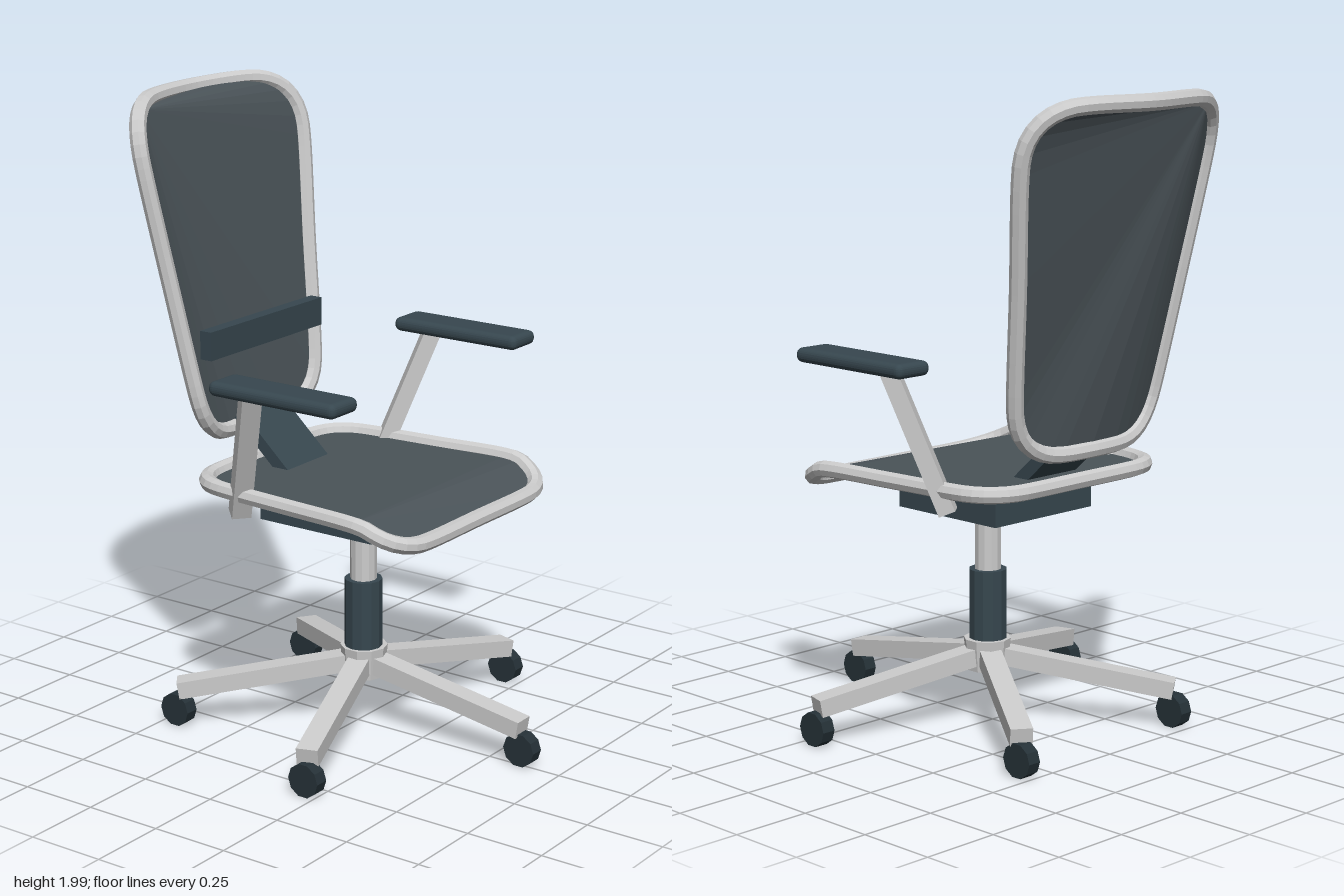
import * as THREE from 'three';
import { RoundedBoxGeometry } from 'three/addons/geometries/RoundedBoxGeometry.js';

const V = (x, y, z) => new THREE.Vector3(x, y, z);

export function createModel() {
  const chair = new THREE.Group();
  chair.name = 'officeChair';
  const mat = (color) => new THREE.MeshStandardMaterial({ color, flatShading: true });
  const metal = mat(0xcccccc);
  const dark = mat(0x37474f);
  const wheel = mat(0x263238);
  const mesh = mat(0x4a5358);
  mesh.side = THREE.DoubleSide;

  function add(name, geometry, material, x = 0, y = 0, z = 0) {
    const m = new THREE.Mesh(geometry, material);
    m.name = name;
    m.position.set(x, y, z);
    chair.add(m);
    return m;
  }

  // Square bar running from point a to point b
  function beam(name, a, b, w, h, material) {
    const c = a.clone().add(b).multiplyScalar(0.5);
    const m = add(name, new THREE.BoxGeometry(w, h, a.distanceTo(b)), material, c.x, c.y, c.z);
    m.lookAt(b);
    return m;
  }

  // Closed outline with rounded corners [x, y, radius] and a point in the middle of each edge
  function roundedLoop(corners) {
    const pts = [];
    corners.forEach(([x, y, r], i) => {
      const p = new THREE.Vector2(x, y);
      const toward = (j, d) => {
        const q = new THREE.Vector2(corners[j][0], corners[j][1]);
        return p.clone().add(q.sub(p).setLength(d));
      };
      const n = corners.length, next = (i + 1) % n;
      const curve = new THREE.QuadraticBezierCurve(toward((i + n - 1) % n, r), p, toward(next, r));
      pts.push(...curve.getPoints(6));
      pts.push(new THREE.Vector2((x + corners[next][0]) / 2, (y + corners[next][1]) / 2));
    });
    return pts;
  }

  // Tubular rim with a thin mesh panel stretched inside as a fan from one rim point;
  // place() bends the flat outline in space
  function framedPanel(name, corners, apex, place) {
    const pts = roundedLoop(corners).map(place);
    const path = new THREE.CatmullRomCurve3(pts, true);
    add(name + 'Frame', new THREE.TubeGeometry(path, 96, 0.026, 8, true), metal);
    const n = pts.length, index = [];
    for (let i = 1; i < n - 1; i++) index.push(apex, (apex + i) % n, (apex + i + 1) % n);
    const panel = new THREE.BufferGeometry().setFromPoints(pts);
    panel.setIndex(index);
    panel.computeVertexNormals();
    add(name + 'Mesh', panel, mesh);
  }

  // Star base: five sloping legs with casters, turned very slightly
  const baseZ = 0.024;
  for (let i = 0; i < 5; i++) {
    const a = (i * Math.PI * 2) / 5 + 0.016;
    const at = (r, y) => V(r * Math.sin(a), y, baseZ + r * Math.cos(a));
    beam('baseLeg', at(0.02, 0.217), at(0.587, 0.121), 0.068, 0.055, metal);
    const c = at(0.587, 0.053);
    const caster = add('caster', new THREE.CylinderGeometry(0.054, 0.054, 0.045, 10), wheel, c.x, c.y, c.z);
    caster.rotation.z = Math.PI / 2;
  }
  add('hub', new THREE.CylinderGeometry(0.075, 0.065, 0.1, 10), metal, 0, 0.215, baseZ);

  // Gas lift and tilt mechanism
  add('liftSleeve', new THREE.CylinderGeometry(0.06, 0.06, 0.23, 12), dark, -0.003, 0.372, baseZ);
  add('liftColumn', new THREE.CylinderGeometry(0.042, 0.042, 0.24, 12), metal, -0.003, 0.59, baseZ);
  add('tiltMechanism', new THREE.BoxGeometry(0.42, 0.085, 0.42), dark, -0.003, 0.732, -0.008);

  // Seat: flat, with the front edge dropping away
  framedPanel('seat', [
    [0.432, 0.445, 0.17], [-0.438, 0.445, 0.17], [-0.37, -0.365, 0.15], [0.365, -0.365, 0.15],
  ], 14, (p) => V(p.x, 0.826 - 0.48 * Math.max(0, p.y - 0.315), p.y));

  // Backrest: leaning back and hollowed towards the middle
  framedPanel('backrest', [
    [0.42, 1.97, 0.2], [-0.425, 1.97, 0.2], [-0.285, 0.928, 0.17], [0.28, 0.928, 0.17],
  ], 10, ({ x, y }) => V(x, y, -0.438 - 0.216 * (y - 1.05) + 0.6 * x * x));

  add('lumbarBar', new THREE.BoxGeometry(0.565, 0.09, 0.042), dark, -0.003, 1.235, -0.366);
  beam('backBracket', V(-0.003, 0.771, -0.16), V(-0.003, 0.975, -0.385), 0.21, 0.04, dark);

  // Armrests
  for (const [side, s] of [['left', 1], ['right', -1]]) {
    beam(side + 'ArmSupport', V(s * 0.365, 0.757, -0.178), V(s * 0.475, 1.18, -0.045), 0.06, 0.052, metal);
    add(side + 'ArmPad', new RoundedBoxGeometry(0.13, 0.045, 0.46, 3, 0.02), dark, s * 0.477 - 0.003, 1.193, 0.075);
  }
  return chair;
}
